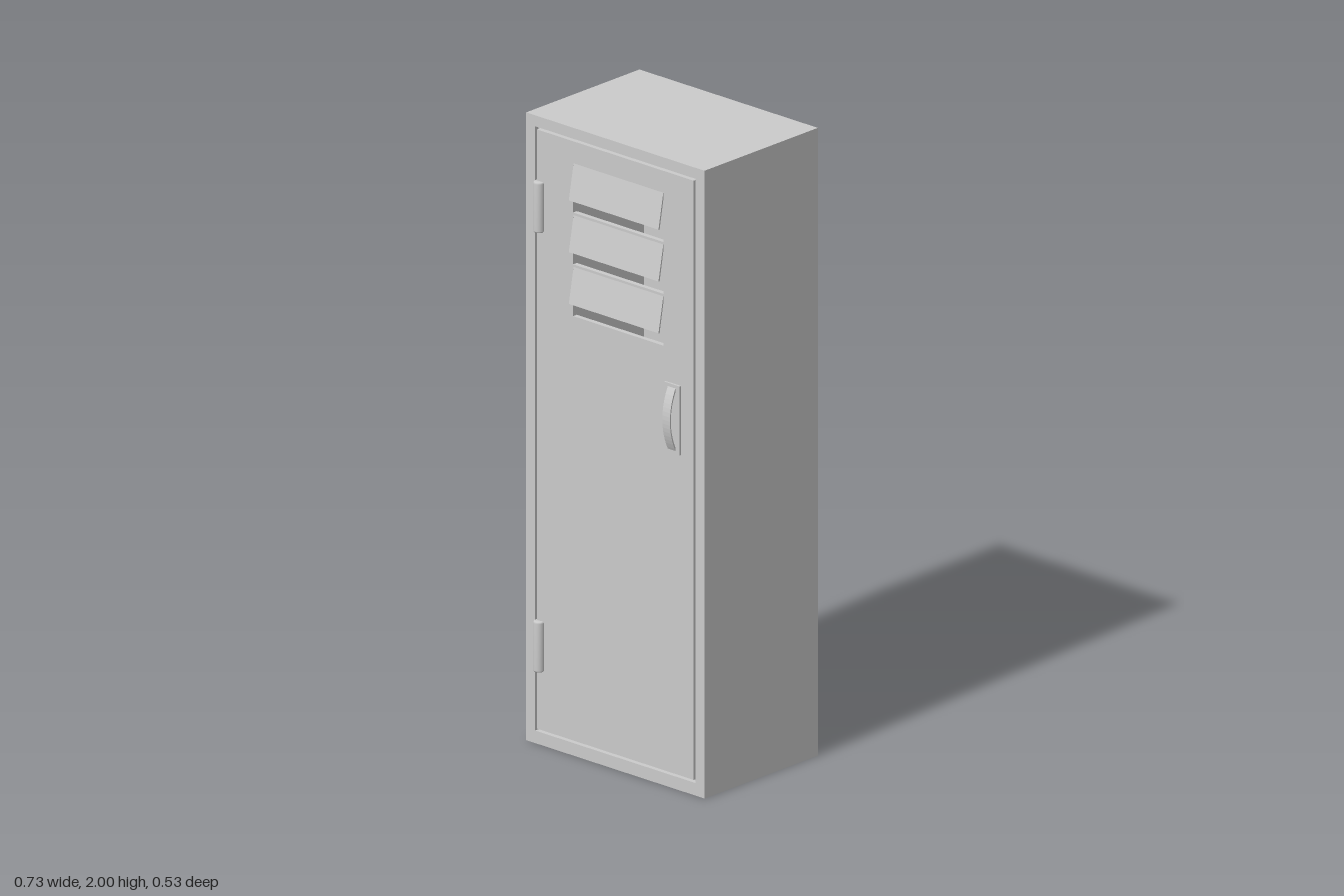
import * as THREE from 'three';

const material = new THREE.MeshStandardMaterial({ color: 0xcccccc });
const W = 0.363, BACK = -0.263, FRONT = 0.233;

// Closed rectangular outline, usable as a shape or as a hole
function rect(x0, y0, x1, y1, Type = THREE.Shape) {
  return new Type([[x0, y0], [x1, y0], [x1, y1], [x0, y1]].map(([x, y]) => new THREE.Vector2(x, y)));
}

// Plate with rectangular holes, spanning z0 to z1
function plate(outline, holes, z0, z1) {
  const shape = rect(...outline);
  holes.forEach((h) => shape.holes.push(rect(...h, THREE.Path)));
  const geometry = new THREE.ExtrudeGeometry(shape, { depth: z1 - z0, bevelEnabled: false });
  return geometry.translate(0, 0, z0);
}

// Side profile given as [z, y], swept along x from x0 to x1
function sweepX(points, x0, x1, creased = true) {
  const shape = new THREE.Shape(points.map(([z, y]) => new THREE.Vector2(-z, y)));
  const geometry = new THREE.ExtrudeGeometry(shape, { depth: x1 - x0, bevelEnabled: false });
  return geometry.rotateY(Math.PI / 2).translate(x0, 0, 0);
}

export function createModel() {
  const model = new THREE.Group();
  const add = (name, geometry, parent = model) => {
    const mesh = new THREE.Mesh(geometry, material);
    mesh.name = name;
    parent.add(mesh);
    return mesh;
  };

  // Hollow cabinet: surround, back panel and the stop behind the door seam
  add('cabinetShell', plate([-W, 0, W, 2], [[-0.327, 0.04, 0.327, 1.965]], BACK + 0.02, FRONT));
  add('backPanel', plate([-W, 0, W, 2], [], BACK, BACK + 0.02));
  add('doorStop', plate([-0.33, 0.035, 0.33, 1.97], [[-0.3, 0.07, 0.3, 1.935]], 0.2, 0.217));

  // Door with three ventilation openings
  const ventBottoms = [1.4, 1.565, 1.73];
  const openings = ventBottoms.map((y) => [-0.172, y, 0.197, y + 0.15]);
  add('door', plate([-0.319, 0.048, 0.319, 1.957], openings, 0.217, FRONT));

  // Slanted louver slats, leaning out over the openings
  const louvers = new THREE.Group();
  louvers.name = 'louvers';
  model.add(louvers);
  for (const y of ventBottoms) {
    const profile = [[FRONT - 0.004, y + 0.155], [FRONT, y + 0.157], [0.254, y + 0.045], [0.249, y + 0.043]];
    add('louverSlat', sweepX(profile, -0.17, 0.195), louvers);
  }

  // Hinge barrels with softened ends
  for (const y of [0.315, 1.715]) {
    const profile = [[0, -0.08], [0.015, -0.08], [0.0185, -0.075], [0.0185, 0.075], [0.015, 0.08], [0, 0.08]];
    const points = profile.map(([r, h]) => new THREE.Vector2(r, h));
    add('hinge', new THREE.LatheGeometry(points, 24)).position.set(-0.309, y, 0.235);
  }

  // Handle: backing plate and a thin bowed pull
  const handle = new THREE.Group();
  handle.name = 'handle';
  model.add(handle);
  add('handlePlate', plate([0.204, 1.07, 0.268, 1.29], [], FRONT - 0.002, 0.24), handle);
  const outer = [], inner = [];
  for (let i = 0; i <= 16; i++) {
    const t = i / 8 - 1;
    const bow = 0.026 * (1 - t * t);
    outer.push([0.238 + bow, 1.18 + 0.104 * t]);
    inner.unshift([0.234 + bow, 1.18 + 0.1 * t]);
  }
  add('handlePull', sweepX([...outer, ...inner], 0.22, 0.251), handle);

  return model;
}
